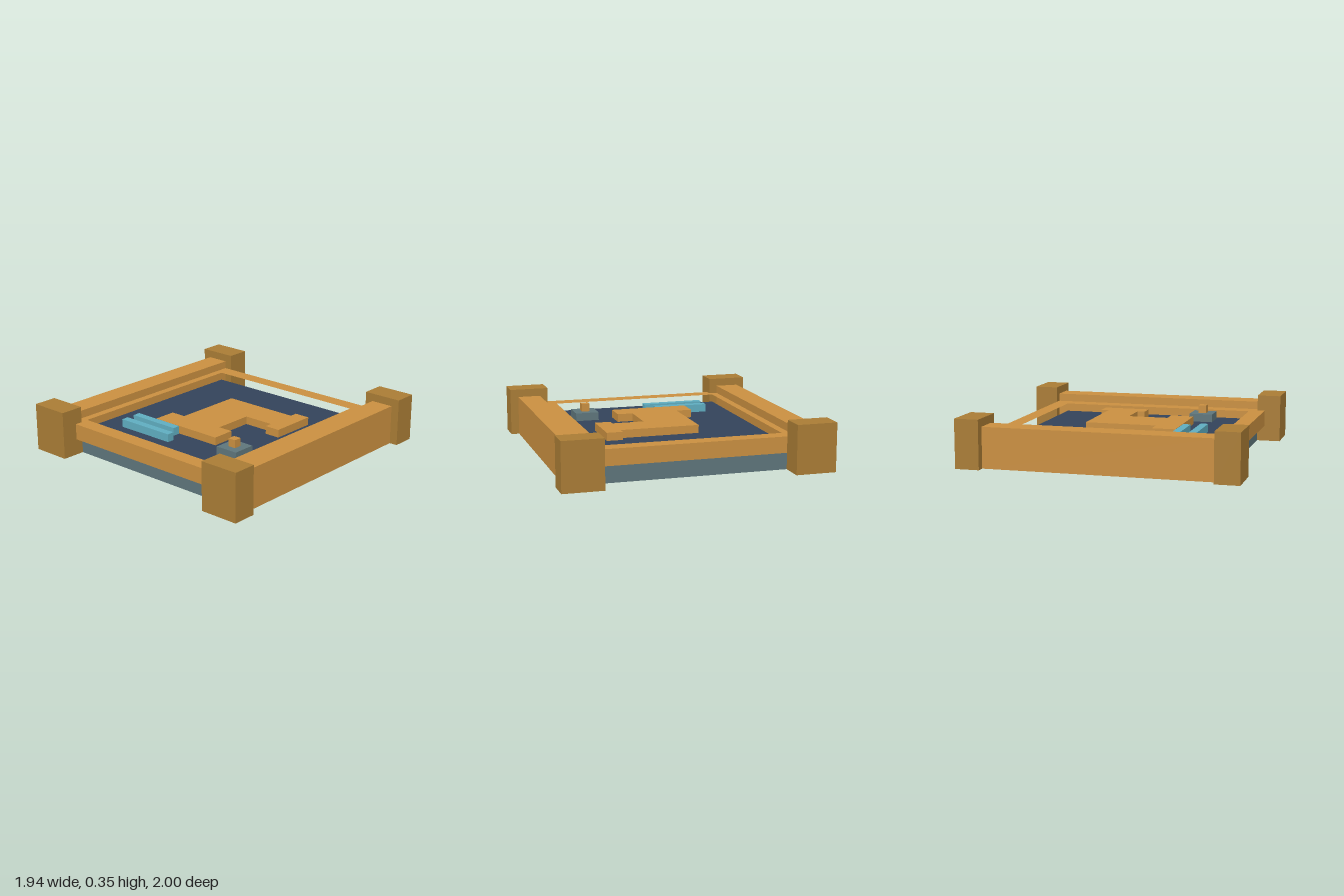
import * as THREE from 'three';

const U = 2 / 34; // modelling unit: everything sits on this grid

const material = (color) => new THREE.MeshStandardMaterial({ color, flatShading: true });

export function createModel() {
  const group = new THREE.Group();
  const wood = material(0xc98f40);
  const darkWood = material(0xa97c35);
  const slate = material(0x5e757b);
  const navy = material(0x33425a);
  const cyan = material(0x5fadc0);

  const add = (name, geometry, mat) => {
    const mesh = new THREE.Mesh(geometry, mat);
    mesh.name = name;
    group.add(mesh);
    return mesh;
  };

  // box given by its limits on each axis
  const box = (name, mat, [x0, x1], [y0, y1], [z0, z1]) => {
    const mesh = add(name, new THREE.BoxGeometry(x1 - x0, y1 - y0, z1 - z0), mat);
    mesh.position.set((x0 + x1) / 2, (y0 + y1) / 2, (z0 + z1) / 2);
  };

  // flat outline in (x, z), raised from y0 to y1
  const toPoints = (pts) => pts.map(([x, z]) => new THREE.Vector2(x, -z));
  const slab = (name, mat, outline, y0, y1, hole) => {
    const shape = new THREE.Shape(toPoints(outline));
    if (hole) shape.holes.push(new THREE.Path(toPoints(hole)));
    const geometry = new THREE.ExtrudeGeometry(shape, { depth: y1 - y0, bevelEnabled: false });
    geometry.rotateX(-Math.PI / 2).translate(0, y0, 0);
    add(name, geometry, mat);
  };
  const rect = (x0, x1, z0, z1) => [[x0, z0], [x1, z0], [x1, z1], [x0, z1]];

  // corner posts and side rails
  for (const [side, s] of [['left', 1], ['right', -1]]) {
    const span = (a, b) => (s > 0 ? [a, b] : [-b, -a]);
    box(side + 'FrontPost', darkWood, span(0.676, 0.97), [0, 6 * U], [0.824, 1]);
    box(side + 'BackPost', darkWood, span(0.676, 0.97), [0, 6 * U], [-1, -0.824]);
    box(side + 'Rail', wood, span(0.737, 0.909), [0, 5 * U], [-0.824, 0.824]);
  }

  // base, rim with an off-centre window, and recessed panel
  box('base', slate, [-0.737, 0.737], [0, 2 * U], [-0.824, 0.824]);
  slab('rim', wood, rect(-0.737, 0.737, -0.824, 0.88), 2 * U, 4 * U,
    rect(-0.68, 0.615, -0.71, 0.765));
  box('panel', navy, [-0.68, 0.615], [2 * U, 3 * U], [-0.71, 0.765]);

  // raised plate with stepped outline
  slab('raisedPlate', wood, [
    [-0.205, -0.295], [0.38, -0.295], [0.38, -0.353], [0.497, -0.353],
    [0.497, -0.005], [0.38, -0.005], [0.38, -0.063], [0.145, -0.063],
    [0.145, 0.235], [0.26, 0.235], [0.26, 0.407], [-0.322, 0.407],
    [-0.322, 0.235], [-0.205, 0.235],
  ], 3 * U, 4 * U);

  // thin bars
  box('backBar', cyan, [-0.5, -0.09], [3 * U, 4 * U], [0.41, 0.467]);
  box('frontBar', cyan, [-0.5, -0.033], [3 * U, 4 * U], [0.528, 0.584]);

  // small pedestal with a cube knob
  box('pedestal', slate, [0.38, 0.555], [3 * U, 4 * U], [0.35, 0.525]);
  box('knob', wood, [0.438, 0.497], [4 * U, 5 * U], [0.408, 0.467]);

  return group;
}
